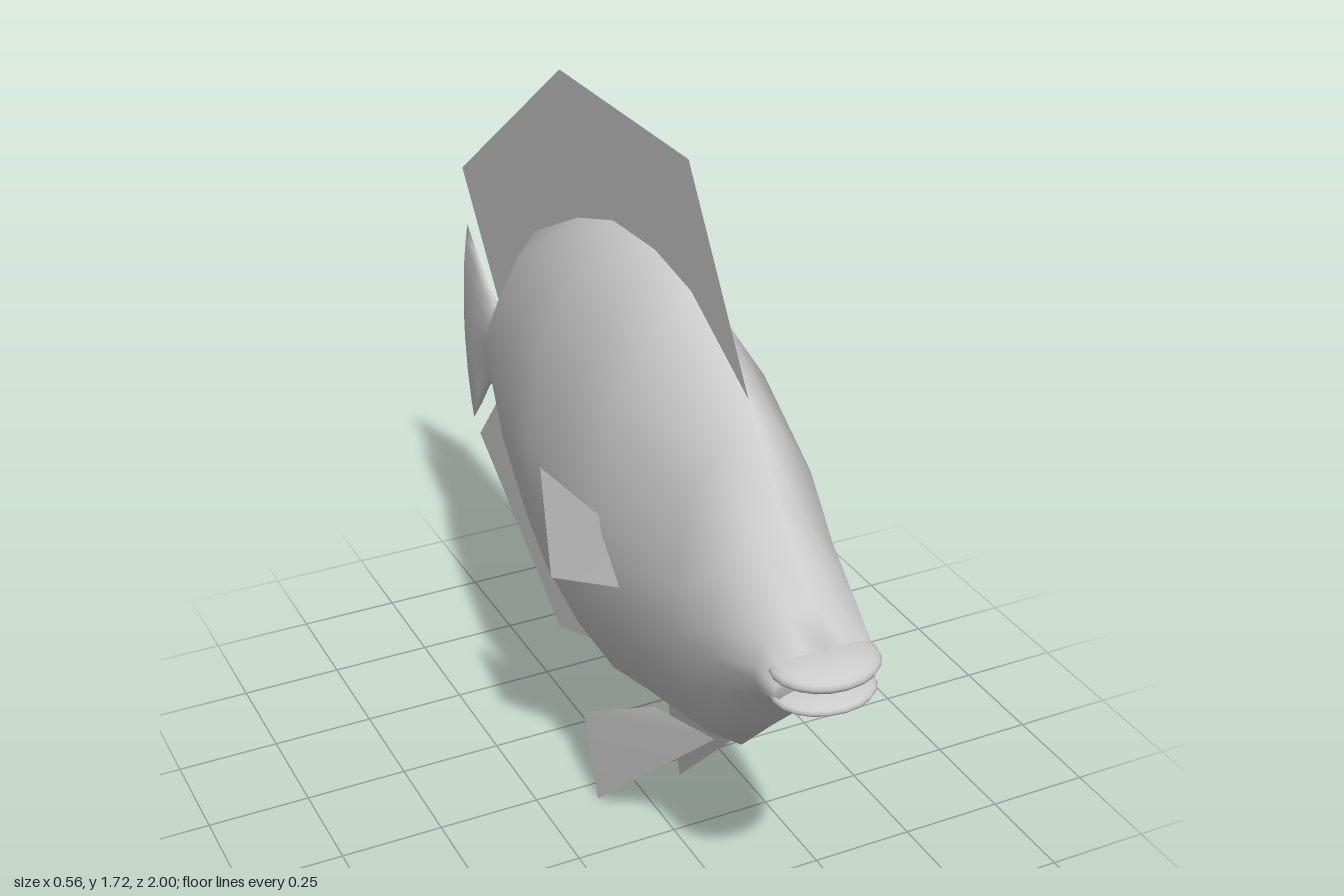
import * as THREE from 'three';

const skin = new THREE.MeshStandardMaterial({ color: 0xcccccc });
const finSkin = new THREE.MeshStandardMaterial({ color: 0xcccccc, side: THREE.DoubleSide });

// Half cross-section from the back ridge to the belly: [share of half width, share of half height]
const half = [[0, 1], [0.42, 0.82], [0.85, 0.55], [1, 0.07], [1, -0.2], [0.85, -0.54], [0.47, -0.86], [0, -1]];
const ring = [...half, ...half.slice(1, -1).reverse().map(([x, y]) => [-x, y])];

// Loft through stations [z, top, bottom, half width, backward bow of the middle]
function loft(stations) {
  const n = ring.length, pos = [], index = [];
  for (const [z, top, bottom, w, bow = 0] of stations) {
    const mid = (top + bottom) / 2, h = (top - bottom) / 2;
    for (const [x, y] of ring) pos.push(x * w, mid + y * h, z - bow * (1 - y * y));
  }
  for (let s = 0; s < stations.length - 1; s++) {
    for (let i = 0; i < n; i++) {
      const a = s * n + i, b = s * n + (i + 1) % n;
      index.push(a, b, a + n, b, b + n, a + n);
    }
  }
  // End caps
  const last = (stations.length - 1) * n;
  for (let i = 1; i < n - 1; i++) {
    index.push(0, i + 1, i, last, last + i, last + i + 1);
  }
  const g = new THREE.BufferGeometry();
  g.setAttribute('position', new THREE.Float32BufferAttribute(pos, 3));
  g.setIndex(index);
  g.computeVertexNormals();
  return g;
}

// Thin flat fin, a fan of triangles over its corners
function fin(name, corners) {
  const g = new THREE.BufferGeometry();
  const index = [];
  for (let i = 1; i < corners.length - 1; i++) index.push(0, i, i + 1);
  g.setAttribute('position', new THREE.Float32BufferAttribute(corners.flat(), 3));
  g.setIndex(index);
  g.computeVertexNormals();
  const mesh = new THREE.Mesh(g, finSkin);
  mesh.name = name;
  return mesh;
}

export function createModel() {
  const fish = new THREE.Group();
  fish.name = 'fish';
  const add = (name, geometry) => {
    const mesh = new THREE.Mesh(geometry, skin);
    mesh.name = name;
    fish.add(mesh);
    return mesh;
  };

  // Body running from the mouth to the flared tail
  add('bodyAndTail', loft([
    [0.91, 0.91, 0.79, 0.118],
    [0.85, 0.985, 0.745, 0.13],
    [0.7, 1.13, 0.595, 0.152],
    [0.57, 1.3, 0.46, 0.172],
    [0.3, 1.44, 0.4, 0.212],
    [0.13, 1.467, 0.35, 0.217],
    [-0.08, 1.455, 0.355, 0.207],
    [-0.27, 1.39, 0.43, 0.172],
    [-0.52, 1.26, 0.56, 0.115],
    [-0.73, 0.96, 0.76, 0.052],
    [-0.78, 0.96, 0.75, 0.03],
    [-0.84, 1.0, 0.7, 0.022],
    [-0.9, 1.06, 0.62, 0.014, 0.02],
    [-0.96, 1.11, 0.55, 0.003, 0.04],
  ]));

  // Parted lips
  for (const [name, y, rx, ry, rz] of [
    ['upperLip', 0.877, 0.12, 0.034, 0.1],
    ['lowerLip', 0.815, 0.115, 0.026, 0.092],
  ]) {
    const lip = add(name, new THREE.SphereGeometry(1, 20, 12));
    lip.scale.set(rx, ry, rz);
    lip.position.set(0, y, 0.9);
  }

  // Fins on the centre line
  fish.add(fin('dorsalFin', [
    [0, 1.1, 0.1], [0, 1.29, 0.57], [0, 1.725, 0.28], [0, 1.715, -0.36], [0, 1.26, -0.98], [0, 0.95, -0.74],
  ]));
  fish.add(fin('analFin', [[0, 0.36, 0.0], [0, 0.2, -0.41], [0, 0.52, -0.92], [0, 0.76, -0.72]]));

  // Paired fins
  for (const s of [1, -1]) {
    const side = s > 0 ? 'left' : 'right';
    fish.add(fin(side + 'PectoralFin', [
      [s * 0.2, 0.94, 0.32], [s * 0.2, 0.81, 0.375], [s * 0.282, 0.755, 0.19], [s * 0.282, 1.01, 0.14],
    ]));
    fish.add(fin(side + 'PelvicFin', [
      [s * 0.04, 0.455, 0.52], [s * 0.112, 0.003, 0.06], [s * 0.112, 0.21, -0.02], [s * 0.06, 0.385, 0.26],
    ]));
  }
  return fish;
}
